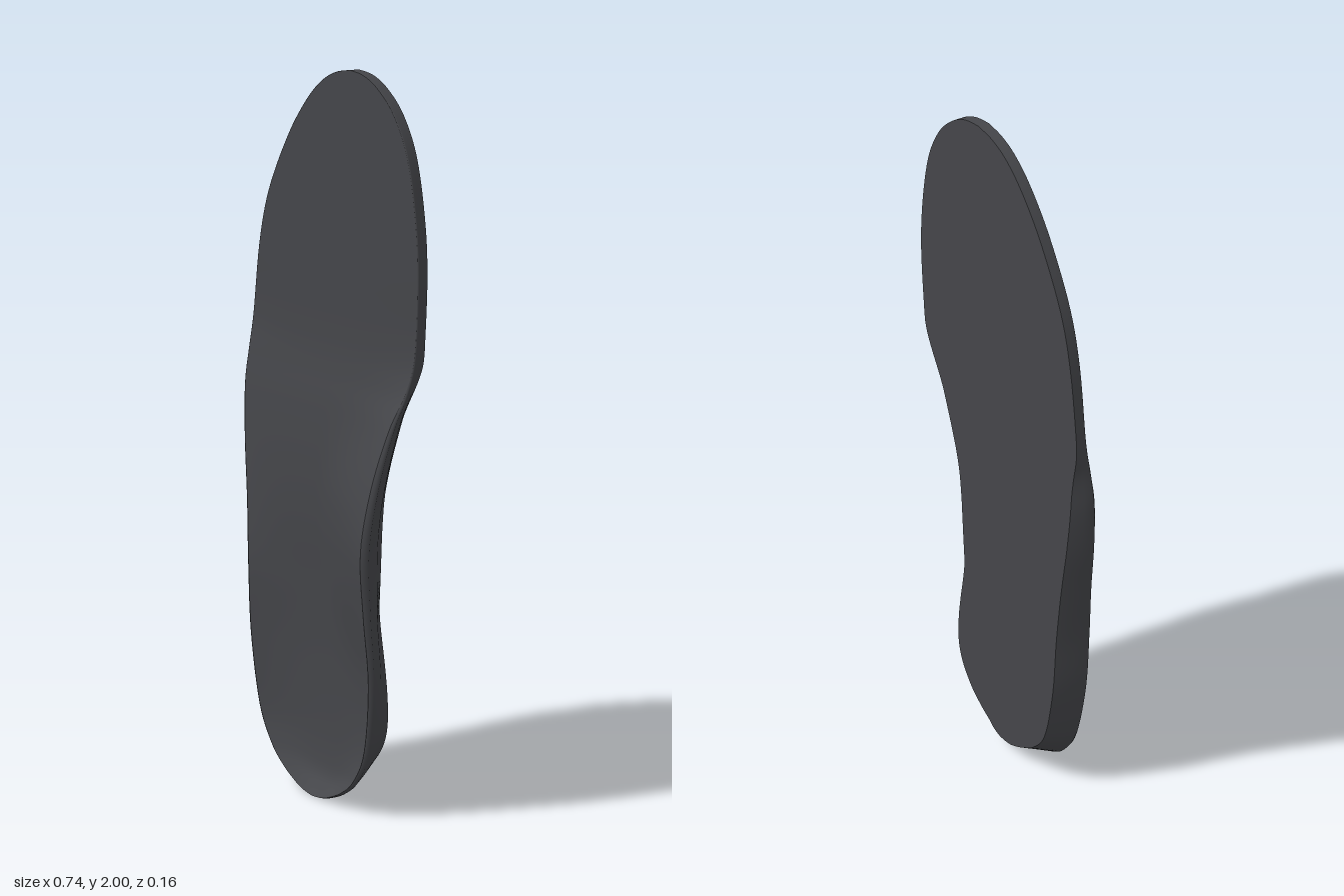
import * as THREE from 'three';
import { mergeVertices } from 'three/addons/utils/BufferGeometryUtils.js';

const BACK = -0.08;

// Stations from heel to toe: y, outer x, inner x, outer rim z, centre z, inner rim z
const STATIONS = [
  [0, 0, 0, 0.015, 0.015, 0.015],
  [0.006, -0.05, 0.05, 0.015, 0.008, 0.015],
  [0.02, -0.09, 0.09, 0.015, -0.008, 0.015],
  [0.05, -0.145, 0.145, 0.015, -0.03, 0.015],
  [0.1, -0.2, 0.2, 0.015, -0.04, 0.015],
  [0.2, -0.255, 0.25, 0.015, -0.045, 0.017],
  [0.4, -0.295, 0.285, 0.015, -0.043, 0.03],
  [0.6, -0.31, 0.303, 0.012, -0.032, 0.06],
  [0.78, -0.33, 0.318, 0, -0.02, 0.08],
  [0.95, -0.355, 0.333, -0.012, -0.02, 0.06],
  [1.1, -0.37, 0.343, -0.025, -0.03, 0.015],
  [1.2, -0.367, 0.352, -0.038, -0.043, -0.03],
  [1.3, -0.36, 0.36, -0.05, -0.05, -0.05],
  [1.5, -0.33, 0.368, -0.05, -0.05, -0.05],
  [1.65, -0.285, 0.355, -0.05, -0.05, -0.05],
  [1.8, -0.2, 0.32, -0.05, -0.05, -0.05],
  [1.9, -0.12, 0.265, -0.05, -0.05, -0.05],
  [1.96, -0.05, 0.2, -0.05, -0.05, -0.05],
  [1.99, 0.015, 0.14, -0.05, -0.05, -0.05],
  [2, 0.08, 0.08, -0.05, -0.05, -0.05],
];

const { smoothstep, lerp } = THREE.MathUtils;

// Smooth interpolation of the station table
function station(u) {
  const last = STATIONS.length - 1;
  const i = Math.min(Math.floor(u), last - 1);
  const t = u - i;
  const at = (k) => STATIONS[Math.max(0, Math.min(last, k))];
  return STATIONS[0].map((_, c) => {
    const [a, b, d, e] = [at(i - 1)[c], at(i)[c], at(i + 1)[c], at(i + 2)[c]];
    const m0 = (d - a) / 2, m1 = (e - b) / 2;
    return b + t * m0 + t * t * (3 * (d - b) - 2 * m0 - m1) + t * t * t * (2 * (b - d) + m0 + m1);
  });
}

// All the measurements of one cross-section
function section(u) {
  const [y, xl, xr, zl, zc, zr] = station(u);
  const width = xr - xl;
  const arch = smoothstep(y, 0.2, 0.65) * (1 - smoothstep(y, 0.85, 1.28));
  const support = 1 - smoothstep(y, 1.1, 1.3);
  const rollL = Math.min(0.1 * (zl - BACK), width * 0.1);
  const rollR = Math.min(0.1 * (zr - BACK), width * 0.1);
  return {
    y, xl, xr, zl, zc, zr, rollL, rollR, arch,
    yBase: y + 0.04 * (1 - smoothstep(y, 0, 0.3)),
    baseL: xl + Math.min(0.03 * support, width * 0.1),
    baseR: xr - Math.min(0.04 * support + 0.09 * arch, width * 0.2),
  };
}

// Surface through a grid of points
function surface(name, rows, material) {
  const n = rows[0].length;
  const index = [];
  for (let i = 0; i < rows.length - 1; i++) {
    for (let j = 0; j < n - 1; j++) {
      const a = i * n + j, d = a + n;
      index.push(a, a + 1, d + 1, a, d + 1, d);
    }
  }
  let geometry = new THREE.BufferGeometry();
  geometry.setAttribute('position', new THREE.Float32BufferAttribute(rows.flat(2), 3));
  geometry.setIndex(index);
  geometry = mergeVertices(geometry, 1e-5);
  geometry.computeVertexNormals();
  const mesh = new THREE.Mesh(geometry, material);
  mesh.name = name;
  return mesh;
}

export function createModel() {
  const group = new THREE.Group();
  group.name = 'insole';
  const material = new THREE.MeshStandardMaterial({ color: 0x45464a });

  const STEPS = 6, COLS = 40;
  const sections = [];
  for (let i = 0; i <= (STATIONS.length - 1) * STEPS; i++) sections.push(section(i / STEPS));
  const across = Array.from({ length: COLS + 1 }, (_, j) => j / COLS);

  // Cupped footbed with heel cup and raised arch
  const footbed = sections.map((s) => across.map((f) => {
    const t = 2 * f - 1;
    const rim = t < 0 ? s.zl : s.zr;
    const power = t < 0 ? 3 : lerp(3, 1.3, s.arch);
    const x = lerp(s.xl + s.rollL, s.xr - s.rollR, f);
    return [x, s.y, s.zc + (rim - s.zc) * Math.abs(t) ** power];
  }));
  group.add(surface('footbed', footbed, material));

  // Flat underside
  const underside = sections.map((s) => across.map((f) =>
    [lerp(s.baseR, s.baseL, f), s.yBase, BACK]));
  group.add(surface('underside', underside, material));

  // Side wall: up the inner side, over the toe and down the outer side
  const inner = sections.map((s) => [
    [s.xr - s.rollR, s.y, s.zr],
    [s.xr - s.rollR * 0.3, s.y, s.zr - s.rollR * 0.3],
    [s.xr, s.y, s.zr - s.rollR],
    [lerp(s.xr, s.baseR, 0.35), lerp(s.y, s.yBase, 0.5), lerp(s.zr, BACK, 0.5)],
    [s.baseR, s.yBase, BACK],
  ]);
  const outer = sections.map((s) => [
    [s.xl + s.rollL, s.y, s.zl],
    [s.xl + s.rollL * 0.3, s.y, s.zl - s.rollL * 0.3],
    [s.xl, s.y, s.zl - s.rollL],
    [lerp(s.xl, s.baseL, 0.35), lerp(s.y, s.yBase, 0.5), lerp(s.zl, BACK, 0.5)],
    [s.baseL, s.yBase, BACK],
  ]);
  group.add(surface('sideWall', [...inner, ...outer.reverse()], material));

  return group;
}
